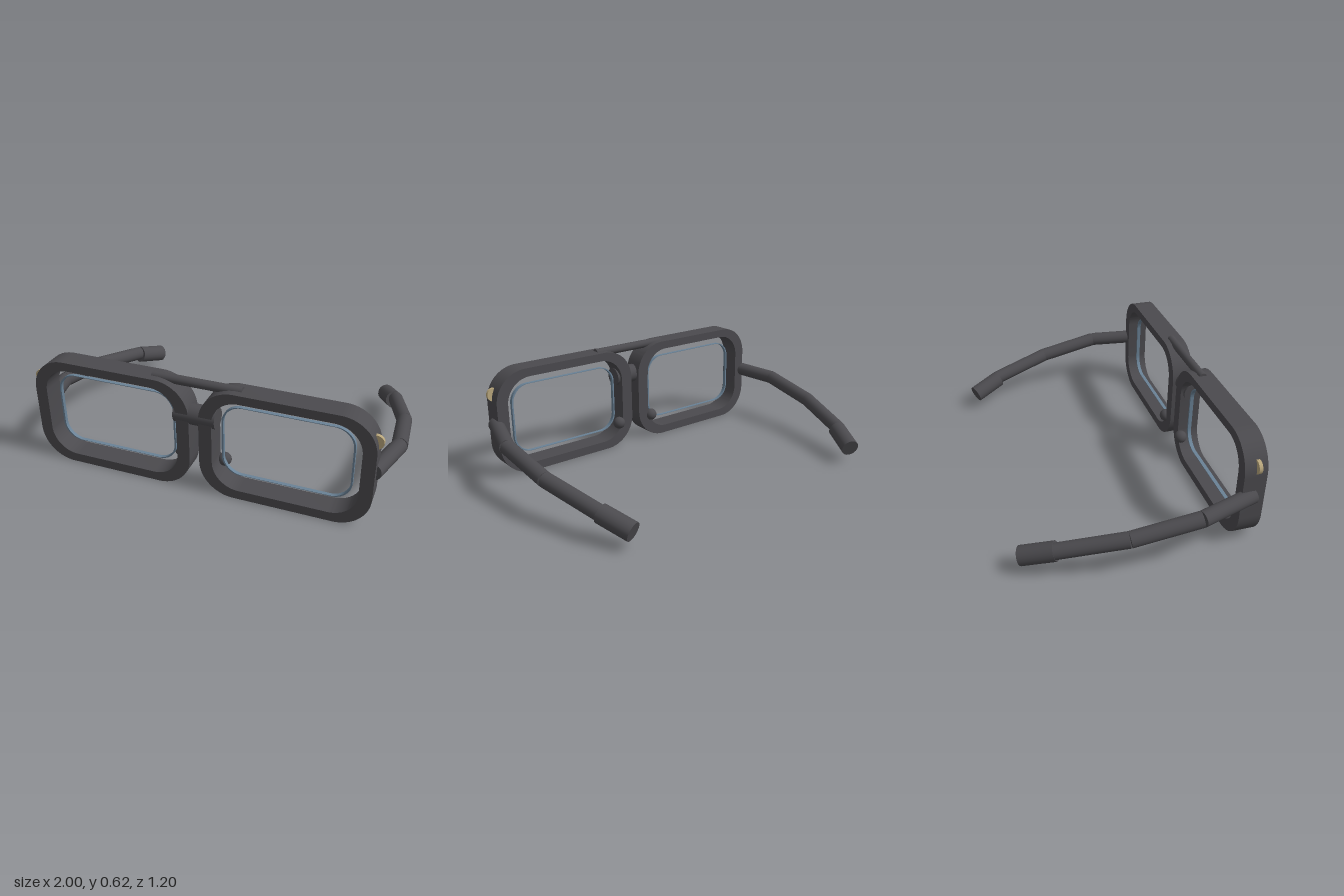
import * as THREE from 'three';
import { toCreasedNormals } from 'three/addons/utils/BufferGeometryUtils.js';

const paint = (name, color) => {
  const m = new THREE.MeshStandardMaterial({ color });
  m.name = name;
  return m;
};

// Traces a rounded rectangle on a Shape or Path
function roundedRect(path, x0, y0, x1, y1, r) {
  path.moveTo(x0 + r, y0);
  path.lineTo(x1 - r, y0);
  path.absarc(x1 - r, y0 + r, r, -Math.PI / 2, 0);
  path.lineTo(x1, y1 - r);
  path.absarc(x1 - r, y1 - r, r, 0, Math.PI / 2);
  path.lineTo(x0 + r, y1);
  path.absarc(x0 + r, y1 - r, r, Math.PI / 2, Math.PI);
  path.lineTo(x0, y0 + r);
  path.absarc(x0 + r, y0 + r, r, Math.PI, Math.PI * 1.5);
  return path;
}

// Rounded ring: outer and inner are [x0, y0, x1, y1, radius]
function ring(outer, inner, z, depth) {
  const shape = roundedRect(new THREE.Shape(), ...outer);
  shape.holes.push(roundedRect(new THREE.Path(), ...inner));
  const geo = new THREE.ExtrudeGeometry(shape, { depth, bevelEnabled: false, curveSegments: 12 });
  geo.translate(0, 0, z);
  return toCreasedNormals(geo, 0.6);
}

// Capped cylinder between two points
function rod(a, b, radius) {
  const from = new THREE.Vector3(...a), to = new THREE.Vector3(...b);
  const dir = to.clone().sub(from);
  const geo = new THREE.CylinderGeometry(radius, radius, dir.length(), 20);
  geo.applyQuaternion(new THREE.Quaternion().setFromUnitVectors(
    new THREE.Vector3(0, 1, 0), dir.normalize()));
  const mid = from.add(to).multiplyScalar(0.5);
  return geo.translate(mid.x, mid.y, mid.z);
}

export function createModel() {
  const model = new THREE.Group();
  model.name = 'eyeglasses';
  const dark = paint('dark frame', 0x4b4a4e);
  const gold = paint('brass', 0xb8a67c);
  const blue = paint('lens edge blue', 0x6a8296);

  const add = (parent, name, geo, mat) => {
    const mesh = new THREE.Mesh(geo, mat);
    mesh.name = name;
    parent.add(mesh);
    return mesh;
  };

  for (const s of [1, -1]) {
    const half = new THREE.Group();
    half.name = s > 0 ? 'leftHalf' : 'rightHalf';
    model.add(half);
    // Horizontal span mirrored by side
    const span = (a, b) => (s > 0 ? [a, b] : [-b, -a]);
    const rect = (a, y0, b, y1, r) => {
      const [x0, x1] = span(a, b);
      return [x0, y0, x1, y1, r];
    };

    // Rim and thin lens edge
    add(half, 'rim', ring(rect(0.026, 0, 0.897, 0.602, 0.18),
      rect(0.094, 0.05, 0.832, 0.555, 0.14), 0.477, 0.119), dark);
    add(half, 'lensEdge', ring(rect(0.126, 0.104, 0.791, 0.503, 0.1),
      rect(0.135, 0.107, 0.782, 0.5, 0.098), 0.52, 0.02), blue);

    // Nose pad
    const pad = add(half, 'nosePad', new THREE.SphereGeometry(0.036, 20, 14), dark);
    pad.position.set(s * 0.12, 0.145, 0.484);

    // Brass rivet disc set into the rim's outer side
    add(half, 'rivet', rod([s * 0.881, 0.472, 0.537], [s * 0.881, 0.472, 0.555], 0.037), gold);

    // Temple arm in three straight pieces, with a thicker ear tip
    const path = [[0.882, 0.302, 0.545], [0.957, 0.281, 0.255],
      [0.935, 0.22, -0.09], [0.84, 0.147, -0.43]].map(([x, y, z]) => [s * x, y, z]);
    for (let i = 0; i < 3; i++) add(half, 'templeArm', rod(path[i], path[i + 1], 0.041), dark);
    add(half, 'earTip', rod([s * 0.835, 0.143, -0.42], [s * 0.765, 0.09, -0.58], 0.05), dark);
  }

  // Nose bridge and upper brow bar
  add(model, 'bridge', rod([-0.11, 0.422, 0.546], [0.11, 0.422, 0.546], 0.054), dark);
  add(model, 'browBar', rod([-0.235, 0.593, 0.535], [0.235, 0.593, 0.535], 0.024), dark);
  return model;
}
